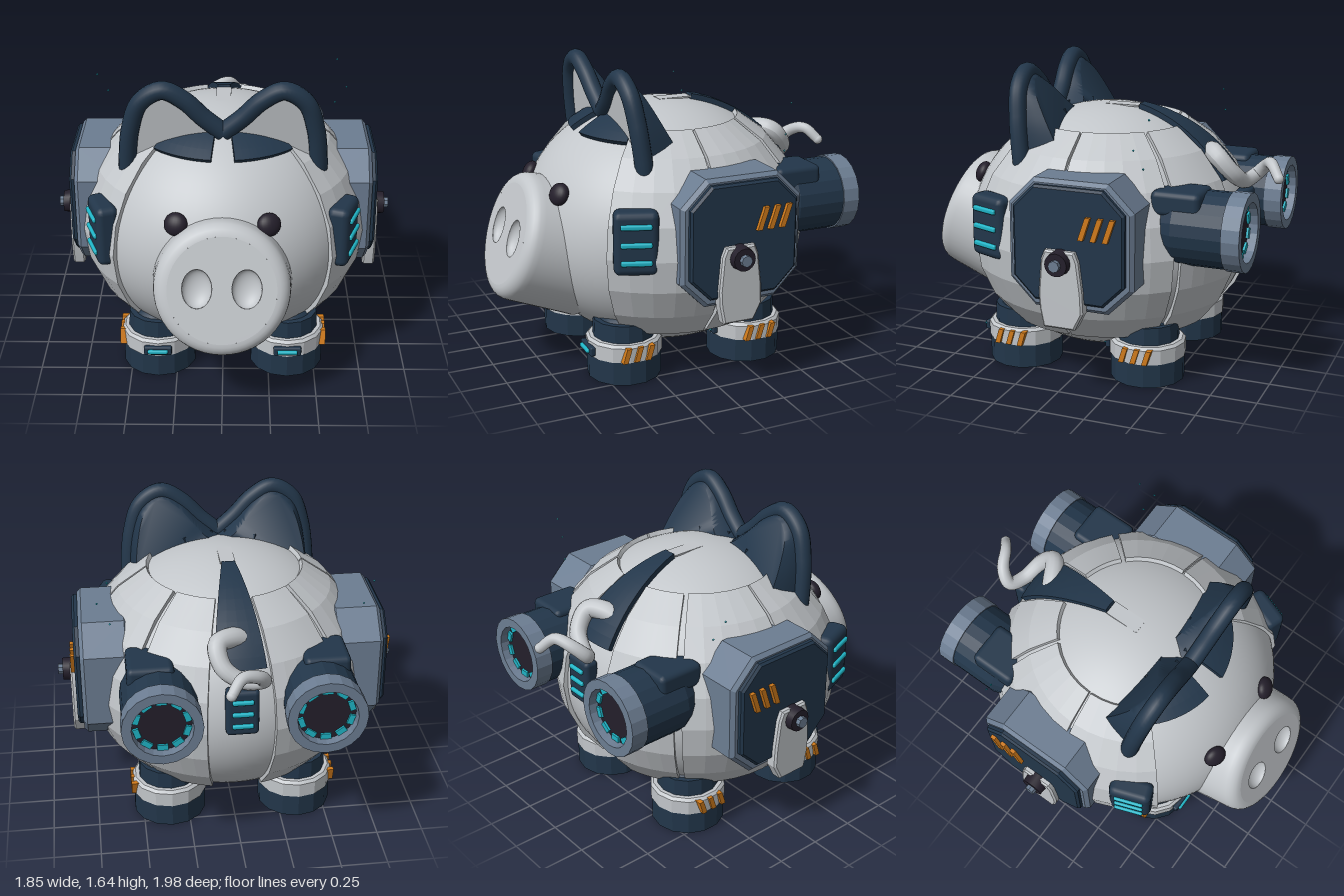
import * as THREE from 'three';
import { toCreasedNormals } from 'three/addons/utils/BufferGeometryUtils.js';
import { RoundedBoxGeometry } from 'three/addons/geometries/RoundedBoxGeometry.js';

const D = Math.PI / 180;
const mat = (name, color, side = THREE.FrontSide) => {
  const m = new THREE.MeshStandardMaterial({ color, side });
  m.name = name;
  return m;
};

// Body ellipsoid: radius R in plan, RY in height, centred at height CY
const R = 0.77, RY = 0.67, CY = 0.73;

function move(geo, rule) {
  const p = geo.attributes.position, v = new THREE.Vector3();
  for (let i = 0; i < p.count; i++) {
    rule(v.fromBufferAttribute(p, i));
    p.setXYZ(i, v.x, v.y, v.z);
  }
  geo.computeVertexNormals();
  return geo;
}

const crease = (geo, deg = 30) => toCreasedNormals(geo, deg * D);

// Thick patch hugging the body, between azimuths (from +z towards +x) and latitudes
function shell(az0, az1, lat0, lat1, nu, nv, inner, outer) {
  const geo = new THREE.BoxGeometry(1, 1, 1, nu, nv, 1);
  return crease(move(geo, v => {
    const az = (az0 + (az1 - az0) * (v.x + 0.5)) * D;
    const lat = (lat0 + (lat1 - lat0) * (v.y + 0.5)) * D;
    const off = v.z > 0 ? outer : inner;
    const r = (R + off) * Math.cos(lat);
    v.set(r * Math.sin(az), CY + (RY + off) * Math.sin(lat), r * Math.cos(az));
  }), 5);
}

// Slab with a [z, y] outline, running from x0 to x1
function slab(points, x0, x1, bevel = 0) {
  const shape = new THREE.Shape(points.map(([z, y]) => new THREE.Vector2(-z, y)));
  const geo = new THREE.ExtrudeGeometry(shape, {
    depth: x1 - x0 - bevel, bevelEnabled: bevel > 0, bevelSize: bevel, bevelOffset: -bevel, bevelThickness: bevel, bevelSegments: 1,
  });
  return crease(geo.rotateY(Math.PI / 2).translate(x0, 0, 0), 20);
}

const octagon = (z, y, h, c) => [[h, c], [c, h], [-c, h], [-h, c], [-h, -c], [-c, -h], [c, -h], [h, -c]].map(([a, b]) => [z + a, y + b]);
const slant = (z, y, w, h, lean) => [[z + lean + w, y - h], [z + lean - w, y - h], [z - lean - w, y + h], [z - lean + w, y + h]];
const lathe = (pts, n) => new THREE.LatheGeometry(pts.map(p => new THREE.Vector2(...p)), n);

export function createModel() {
  const grey = mat('light grey', 0xc2c6ca, THREE.DoubleSide);
  const navy = mat('navy', 0x22364a);
  const steel = mat('steel blue', 0x6c7d92);
  const black = mat('black', 0x241f2b);
  const cyan = mat('cyan glow', 0x1fb4c6);
  const orange = mat('orange', 0xd27c1c);

  const model = new THREE.Group();
  model.name = 'armouredPiggyBank';
  const add = (parent, name, geo, material, x = 0, y = 0, z = 0) => {
    const m = new THREE.Mesh(geo, material);
    m.name = name;
    m.position.set(x, y, z);
    parent.add(m);
    return m;
  };
  const group = (parent, name, x = 0, y = 0, z = 0) => {
    const g = new THREE.Group();
    g.name = name;
    g.position.set(x, y, z);
    parent.add(g);
    return g;
  };

  // Body
  add(model, 'body', new THREE.SphereGeometry(1, 64, 48).scale(R, RY, R), grey, 0, CY, 0);
  add(model, 'backStripe', shell(169, 191, 28, 77, 4, 10, -0.02, 0.03), navy);
  add(model, 'coinSlot', new THREE.BoxGeometry(0.08, 0.009, 0.19), grey, 0, 1.396, -0.075);

  // Snout with hollow nostrils, tipped upwards
  const snout = group(model, 'snout', 0, 0.745, 0.9);
  snout.rotation.x = -18 * D;
  const edge = [[0.375, -0.45], [0.37, -0.4], [0.347, -0.08]];
  for (let i = 1; i <= 6; i++) edge.push([0.275 + 0.07 * Math.cos(i * 15 * D), -0.07 + 0.07 * Math.sin(i * 15 * D)]);
  add(snout, 'snoutSide', lathe(edge, 48).rotateX(Math.PI / 2), grey);
  const face = new THREE.Shape().absarc(0, 0, 0.275, 0, Math.PI * 2);
  for (const s of [-1, 1]) {
    face.holes.push(new THREE.Path().absellipse(s * 0.125, 0.01, 0.075, 0.1, 0, Math.PI * 2, true));
    const bowl = new THREE.SphereGeometry(1, 24, 10, 0, Math.PI * 2, Math.PI / 2, Math.PI / 2).rotateX(Math.PI / 2);
    add(snout, 'nostril', bowl.scale(0.075, 0.1, 0.05), grey, s * 0.125, 0.01, 0);
  }
  add(snout, 'snoutFace', new THREE.ShapeGeometry(face, 32), grey);

  // Curly tapering tail
  const curl = new THREE.CatmullRomCurve3([
    [-0.1, 1.1, -0.52], [0.02, 1.18, -0.58], [0.11, 1.18, -0.64], [0.09, 1.09, -0.72], [-0.01, 1.03, -0.76],
    [-0.1, 1.05, -0.8], [-0.07, 1.11, -0.86], [0.02, 1.14, -0.91], [0.08, 1.08, -0.965],
  ].map(p => new THREE.Vector3(...p)));
  const tail = new THREE.TubeGeometry(curl, 60, 1, 14);
  let n = 0;
  move(tail, v => {
    const t = Math.floor(n++ / 15) / 60, c = curl.getPointAt(t);
    v.sub(c).multiplyScalar(0.06 - 0.033 * t).add(c);
  });
  add(model, 'tail', tail, grey);
  add(model, 'tailTip', new THREE.SphereGeometry(0.028, 14, 10), grey, 0.08, 1.08, -0.965);

  // Lamp block with glowing bars, facing +z
  const lamp = (parent, name, w, h, d, bars, gap, barW, barH) => {
    const g = group(parent, name);
    add(g, 'lampHousing', new RoundedBoxGeometry(w, h, d, 2, Math.min(h, d) * 0.3), navy);
    for (let i = 0; i < bars; i++)
      add(g, 'lampBar', new RoundedBoxGeometry(barW, barH, 0.03, 2, 0.01), cyan, 0, (i - (bars - 1) / 2) * gap, d / 2);
    return g;
  };
  const tailLamp = lamp(model, 'tailLamp', 0.17, 0.26, 0.08, 3, 0.07, 0.11, 0.025);
  tailLamp.position.set(0, 0.86, -0.76);
  tailLamp.rotation.y = Math.PI;

  const leg = (parent, name, z) => {
    const g = group(parent, name, 0.35, 0, z);
    add(g, 'foot', crease(lathe([[0, 0.02], [0.13, 0.02], [0.14, 0], [0.2, 0], [0.2, 0.135]], 14), 20), navy);
    add(g, 'ankleBand', crease(lathe([[0.19, 0.13], [0.205, 0.13], [0.205, 0.21], [0.19, 0.225], [0.15, 0.225]], 14), 20), grey);
    add(g, 'upperLeg', crease(new THREE.CylinderGeometry(0.165, 0.17, 0.12, 14), 20), navy, 0, 0.26, 0);
    add(g, 'knee', new THREE.SphereGeometry(1, 20, 12).scale(0.15, 0.09, 0.15), navy, 0, 0.28, 0);
    const l = lamp(g, 'ankleLamp', 0.15, 0.05, 0.03, 1, 0, 0.11, 0.024);
    l.position.set(0, 0.17, 0.205);
    for (const dz of [-0.065, 0, 0.065])
      add(g, 'ankleStripe', slab(slant(dz, 0.175, 0.014, 0.04, 0.012), 0.17, 0.213), orange);
  };

  const buildSide = name => {
    const g = group(model, name);

    // Armour panels with seams between
    for (const [a, b] of [[46, 89], [90.5, 135], [138, 167]])
      add(g, 'armourPanel', shell(a, b, -43, 58, 5, 7, -0.03, 0.025), grey);

    // Eye and brow
    const eye = add(g, 'eye', new THREE.SphereGeometry(1, 24, 16).scale(0.062, 0.06, 0.04), black, 0.235, 1.0, 0.675);
    eye.rotation.set(-25 * D, 20 * D, 0, 'YXZ');
    add(g, 'brow', shell(7, 46, 51, 70, 8, 4, -0.02, 0.027), navy);

    // Ear: thick back, pale inner face and rounded rim
    const lean = y => 0.31 + (y - 1.16) * 0.12;
    const line = new THREE.CatmullRomCurve3([
      [0.5, 1.1], [0.497, 1.2], [0.475, 1.38], [0.42, 1.53], [0.31, 1.595], [0.2, 1.54], [0.1, 1.44], [0, 1.355],
    ].map(([x, y]) => new THREE.Vector3(x, y, lean(y))));
    const outline = new THREE.Shape([...line.getPoints(40).map(p => new THREE.Vector2(p.x, p.y)), new THREE.Vector2(0, 1.15)]);
    const back = new THREE.ExtrudeGeometry(outline, { depth: 1, steps: 3, bevelEnabled: false });
    move(back, v => {
      const t = 1 - v.z;
      v.z = lean(v.y) - t * (0.05 + 0.4 * Math.max(0, 1.62 - v.y));
      const k = 1 - 0.12 * t * t;
      if (v.x > 0.01) v.x = 0.28 + (v.x - 0.28) * k;
      v.y = 1.2 + (v.y - 1.2) * (1 - 0.06 * t * t);
    });
    add(g, 'earBack', crease(back, 50), navy);
    add(g, 'earInner', move(new THREE.ShapeGeometry(outline), v => { v.z = lean(v.y) + 0.006; }), grey);
    add(g, 'earRim', new THREE.TubeGeometry(line, 48, 0.048, 14), navy);

    // Side shield with stripes, hanging tag and hub
    add(g, 'shield', slab(octagon(-0.095, 0.82, 0.338, 0.2), 0.56, 0.8, 0.02), steel);
    add(g, 'shieldPlate', slab(octagon(-0.095, 0.83, 0.3, 0.185), 0.79, 0.83, 0.012), navy);
    for (const z of [-0.19, -0.255, -0.32])
      add(g, 'shieldStripe', slab(slant(z, 0.935, 0.014, 0.06, 0.02), 0.82, 0.85), orange);
    add(g, 'tag', slab([[0.02, 0.81], [0.04, 0.76], [0.055, 0.58], [0.05, 0.5], [0.03, 0.4], [-0.14, 0.4],
      [-0.185, 0.49], [-0.18, 0.6], [-0.16, 0.76], [-0.14, 0.81]], 0.8, 0.86, 0.01), grey);
    add(g, 'hub', crease(new THREE.CylinderGeometry(0.06, 0.066, 0.07, 16).rotateZ(-Math.PI / 2), 40), black, 0.865, 0.75, -0.06);
    add(g, 'hubBolt', crease(new THREE.CylinderGeometry(0.03, 0.03, 0.03, 8).rotateZ(-Math.PI / 2), 20), steel, 0.91, 0.75, -0.06);

    // Shoulder lamp
    const shoulder = lamp(g, 'shoulderLamp', 0.23, 0.335, 0.12, 3, 0.095, 0.16, 0.028);
    shoulder.position.set(0.63, 0.83, 0.415);
    shoulder.rotation.y = 70 * D;

    // Thruster pointing backwards
    const t = group(g, 'thruster', 0.412, 0.875, 0);
    t.rotation.x = -Math.PI / 2;
    add(t, 'thrusterBody', crease(lathe([[0, 0.48], [0.17, 0.48], [0.198, 0.55], [0.198, 0.82]], 20), 12), navy);
    add(t, 'nozzleRing', crease(lathe([[0.19, 0.815], [0.205, 0.815], [0.205, 0.91], [0.155, 0.91], [0.15, 0.85]], 20), 12), steel);
    add(t, 'nozzleCore', new THREE.CylinderGeometry(0.16, 0.16, 0.02, 20), black, 0, 0.85, 0);
    for (let i = 0; i < 10; i++) {
      const a = i * 36 * D;
      const glow = add(t, 'nozzleGlow', new THREE.BoxGeometry(0.055, 0.02, 0.03), cyan, 0.132 * Math.sin(a), 0.862, 0.132 * Math.cos(a));
      glow.rotation.y = a;
    }
    add(g, 'thrusterMount', new RoundedBoxGeometry(0.24, 0.13, 0.26, 2, 0.03), navy, 0.45, 1.02, -0.56);
    add(g, 'thrusterArm', new RoundedBoxGeometry(0.2, 0.24, 0.2, 2, 0.03), navy, 0.45, 0.9, -0.53);

    leg(g, 'frontLeg', 0.37);
    leg(g, 'rearLeg', -0.35);
    return g;
  };
  buildSide('leftSide');
  buildSide('rightSide').scale.x = -1;

  // Drifting sparks
  for (const [x, y, z] of [[-0.725, 1.375, -0.42], [-0.67, 1.265, -0.45], [0.64, 1.46, -0.45], [0.695, 1.315, -0.39], [0.635, 1.21, -0.42]])
    add(model, 'spark', new THREE.OctahedronGeometry(0.007), cyan, x, y, z);

  return model;
}
